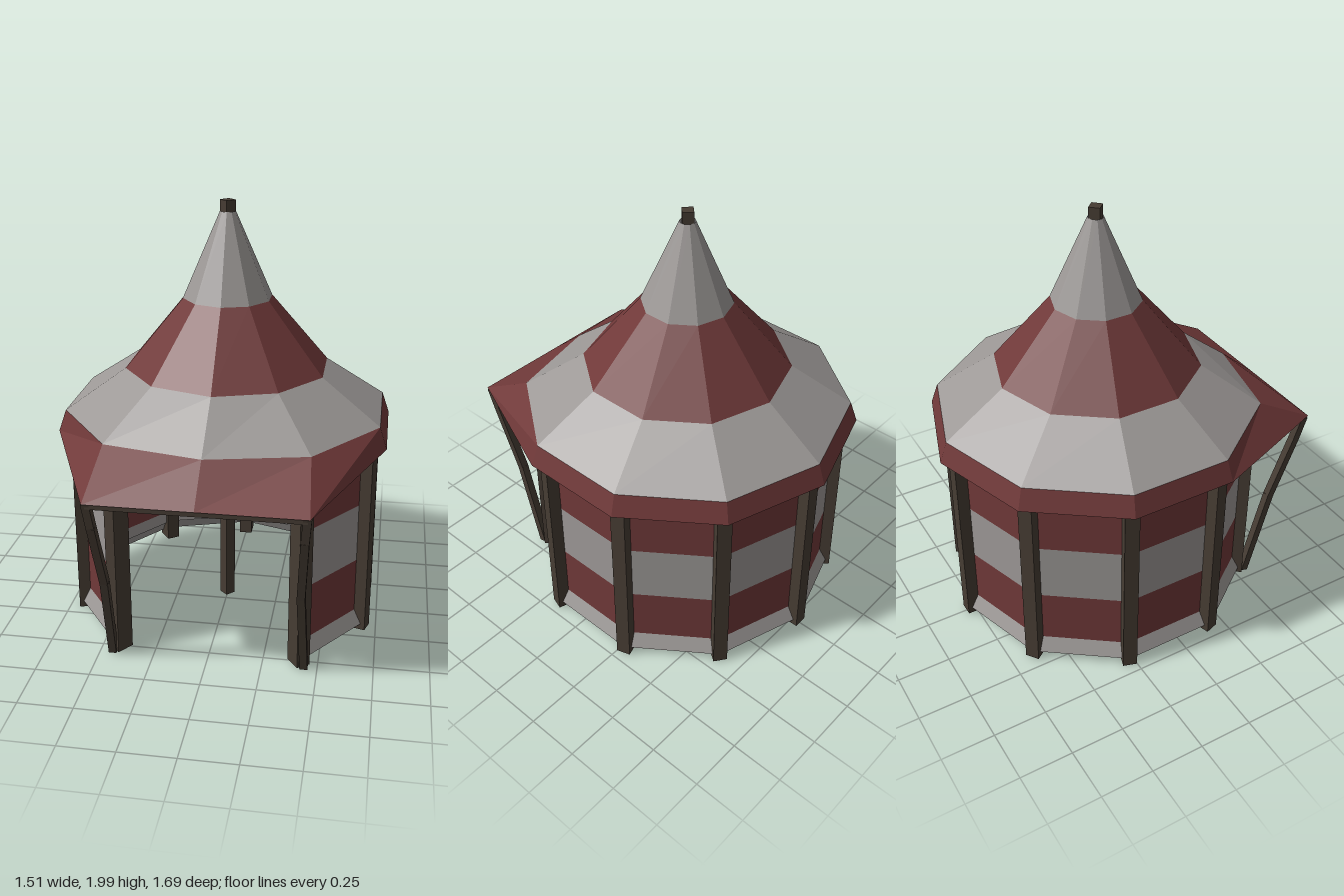
import * as THREE from 'three';

const SIDES = 10, CZ = -0.055;

const mat = (name, color, extra = {}) => {
  const m = new THREE.MeshStandardMaterial({ color, ...extra });
  m.name = name;
  return m;
};

// Corner i of a ten-sided ring; corner 0 is at the back, corner 5 at the front
const corner = (i, r, y) => {
  const a = (i * Math.PI * 2) / SIDES;
  return new THREE.Vector3(r * Math.sin(a), y, CZ - r * Math.cos(a));
};
const ring = (r, y, from = 0, count = SIDES) =>
  Array.from({ length: count + 1 }, (_, k) => corner(from + k, r, y));

// Faceted cloth between a lower and an upper row of points
function strip(lower, upper) {
  const p = [];
  for (let i = 0; i < lower.length - 1; i++) {
    const a = lower[i + 1], b = lower[i], c = upper[i], d = upper[i + 1];
    for (const v of [a, b, c, a, c, d]) p.push(v.x, v.y, v.z);
  }
  const g = new THREE.BufferGeometry();
  g.setAttribute('position', new THREE.Float32BufferAttribute(p, 3));
  g.computeVertexNormals();
  return g;
}

export function createModel() {
  const group = new THREE.Group();
  const red = mat('red canvas', 0x703939, { side: THREE.DoubleSide });
  const pale = mat('pale canvas', 0x9c9896, { side: THREE.DoubleSide });
  const wood = mat('dark wood', 0x463c33);

  const add = (name, geometry, material) => {
    const m = new THREE.Mesh(geometry, material);
    m.name = name;
    group.add(m);
    return m;
  };

  // Square beam between two points
  const beam = (name, a, b, w, d = w) => {
    const m = add(name, new THREE.BoxGeometry(w, a.distanceTo(b), d), wood);
    m.position.copy(a).add(b).multiplyScalar(0.5);
    m.quaternion.setFromUnitVectors(new THREE.Vector3(0, 1, 0), b.clone().sub(a).normalize());
    return m;
  };

  // Roof rings, with the front eave drawn out into an awning
  const eave = ring(0.795, 0.95);
  const shoulder = ring(0.76, 1.05);
  shoulder[5].z = 0.66;
  for (const [i, x] of [[4, 0.47], [5, 0], [6, -0.47]]) eave[i].set(x, 0.895, 0.84);
  const rings = [eave, shoulder, ring(0.477, 1.24), ring(0.207, 1.56), ring(0.036, 1.95)];
  ['eaveAndAwning', 'lowerRoof', 'middleRoof', 'roofPeak'].forEach((name, i) =>
    add(name, strip(rings[i], rings[i + 1]), i % 2 ? pale : red));

  // Striped walls: outer cloth with a flared hem, and an inner lining
  const wall = (name, levels) => {
    for (let i = 0; i < levels.length - 1; i++) {
      const [y0, r0] = levels[i], [y1, r1] = levels[i + 1];
      add(name + 'Band' + i, strip(ring(r0, y0, 6, 8), ring(r1, y1, 6, 8)), i % 2 ? red : pale);
    }
  };
  wall('outerWall', [[0.05, 0.735], [0.12, 0.7], [0.385, 0.7], [0.665, 0.7], [0.945, 0.7], [1.07, 0.7]]);
  wall('lining', [[0.11, 0.69], [0.175, 0.69], [0.45, 0.69], [0.735, 0.69], [1.01, 0.69], [1.07, 0.69]]);

  // Posts at every corner except the open front
  for (let i = 6; i <= 14; i++) {
    const post = add('wallPost', new THREE.BoxGeometry(0.066, 0.98, 0.085), wood);
    post.position.copy(corner(i, 0.702, 0.51));
    post.rotation.y = -(i * Math.PI * 2) / SIDES;
  }

  // Centre pole rising through the peak
  const pole = add('centrePole', new THREE.CylinderGeometry(0.036, 0.036, 1.98, 4).toNonIndexed(), wood);
  pole.geometry.computeVertexNormals();
  pole.position.set(0, 1.01, CZ);

  // Bent awning struts and rods on both sides
  const V = (x, y, z) => new THREE.Vector3(x, y, z);
  for (const s of [1, -1]) {
    const path = [V(0.44 * s, 0.02, 0.55), V(0.43 * s, 0.45, 0.68), V(0.448 * s, 0.77, 0.785), V(0.458 * s, 0.895, 0.815)];
    for (let i = 0; i < 3; i++) beam('awningStrut', path[i], path[i + 1], 0.036);
    beam('awningSideRod', V(0.45 * s, 0.888, 0.82), V(0.41 * s, 0.915, 0.54), 0.018);
  }
  beam('awningFrontRod', V(-0.46, 0.88, 0.82), V(0.46, 0.88, 0.82), 0.02);

  return group;
}
